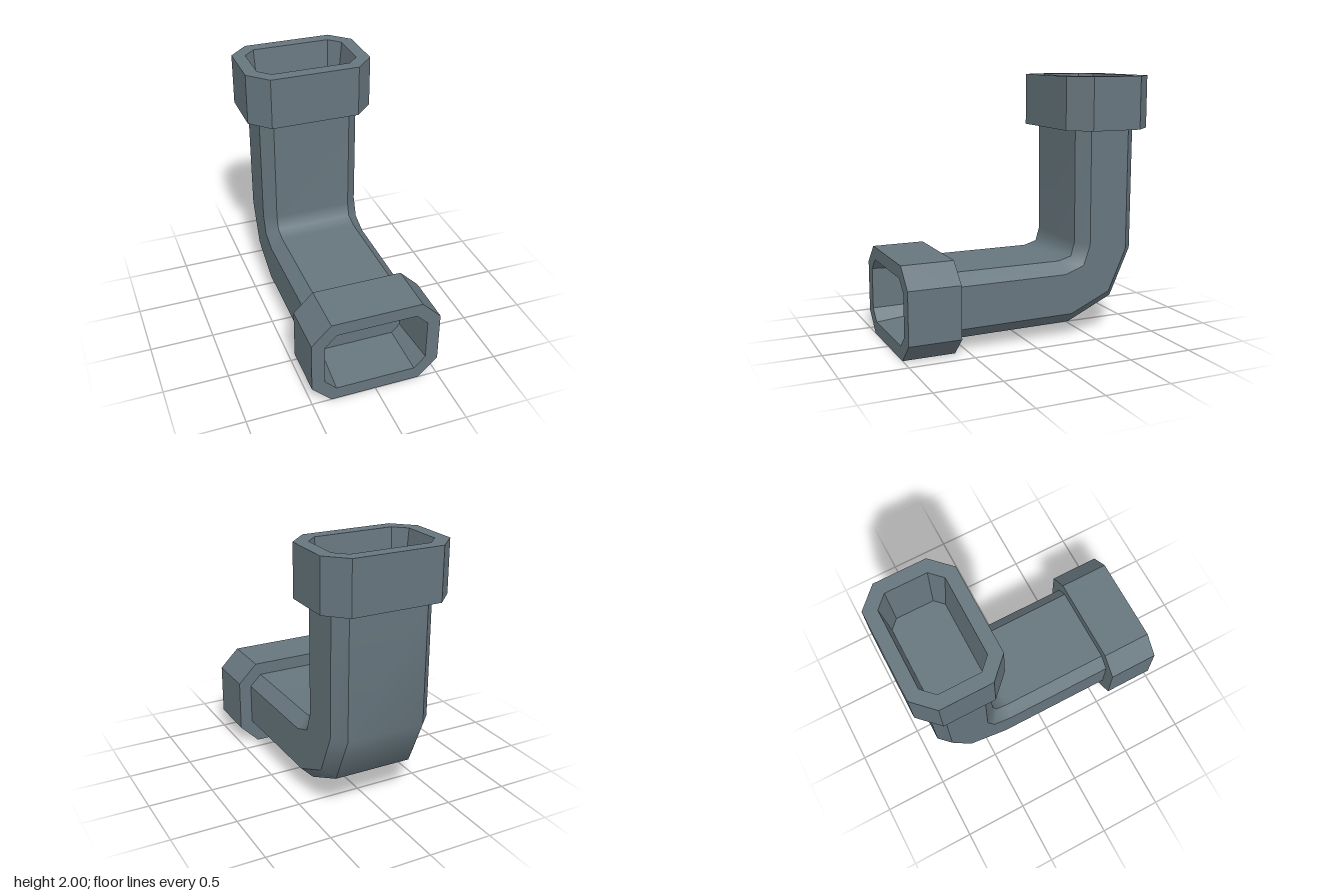
import * as THREE from 'three';
import { mergeGeometries } from 'three/addons/utils/BufferGeometryUtils.js';

// Chamfered rectangle, counter-clockwise, from half width, half height and chamfer
function octagon(w, h, c) {
  return [
    [w, -h + c], [w, h - c], [w - c, h], [-w + c, h],
    [-w, h - c], [-w, -h + c], [-w + c, -h], [w - c, -h],
  ];
}

// Joins successive rings; each side is its own strip, so lengthwise edges stay sharp
function loft(rings, smooth) {
  const n = rings[0].length;
  const strips = [];
  for (let i = 0; i < n; i++) {
    const pos = [];
    const index = [];
    rings.forEach((ring, k) => {
      pos.push(...ring[i], ...ring[(i + 1) % n]);
      if (k > 0) {
        const a = 2 * (k - 1);
        index.push(a, a + 1, a + 3, a, a + 3, a + 2);
      }
    });
    let g = new THREE.BufferGeometry();
    g.setAttribute('position', new THREE.Float32BufferAttribute(pos, 3));
    g.setIndex(index);
    g = smooth ? g : g.toNonIndexed();
    g.computeVertexNormals();
    strips.push(smooth ? g.toNonIndexed() : g);
  }
  return mergeGeometries(strips);
}

// Flat cap over a ring
function cap(ring) {
  const pos = [];
  for (let i = 1; i < ring.length - 1; i++) pos.push(...ring[0], ...ring[i], ...ring[i + 1]);
  const g = new THREE.BufferGeometry();
  g.setAttribute('position', new THREE.Float32BufferAttribute(pos, 3));
  g.computeVertexNormals();
  return g;
}

// Collar with a tapered socket, its mouth at z = 0 facing +z
function collarGeometry() {
  const at = (oct, z) => oct.map(([x, y]) => [x, y, z]);
  const outer = octagon(0.5, 0.35, 0.15);
  const back = at(outer, -0.4);
  const front = at(outer, 0);
  const mouth = at(octagon(0.4, 0.25, 0.09), 0);
  const floor = at(octagon(0.36, 0.21, 0.065), -0.39);
  return mergeGeometries([
    loft([back, front, mouth, floor], false),
    cap(floor),
    cap([...back].reverse()),
  ]);
}

// Bent pipe: each station gives outer z, y and inner z, y of the elbow
function pipeGeometry() {
  const stations = [
    [0.6, 0.1, 0.6, 0.6],
    [-0.355, 0.11, -0.27, 0.6],
    [-0.725, 0.28, -0.375, 0.63],
    [-0.895, 0.65, -0.405, 0.735],
    [-0.9, 1.6, -0.4, 1.6],
  ];
  const section = octagon(0.4, 0.25, 0.09);
  const rings = stations.map(([oz, oy, iz, iy]) => section.map(([u, v]) => {
    const t = v / 0.5 + 0.5;
    return [-u, oy + (iy - oy) * t, oz + (iz - oz) * t];
  }));
  return loft(rings, true);
}

export function createModel() {
  const group = new THREE.Group();
  group.name = 'elbowPipe';
  const metal = new THREE.MeshStandardMaterial({ color: 0x66757d });
  metal.name = 'slate grey';

  const add = (name, geometry) => {
    const mesh = new THREE.Mesh(geometry, metal);
    mesh.name = name;
    group.add(mesh);
    return mesh;
  };

  add('bentPipe', pipeGeometry());

  const collar = collarGeometry();
  add('frontCollar', collar).position.set(0, 0.35, 1);
  const top = add('topCollar', collar);
  top.rotation.x = -Math.PI / 2;
  top.position.set(0, 2, -0.65);

  return group;
}
